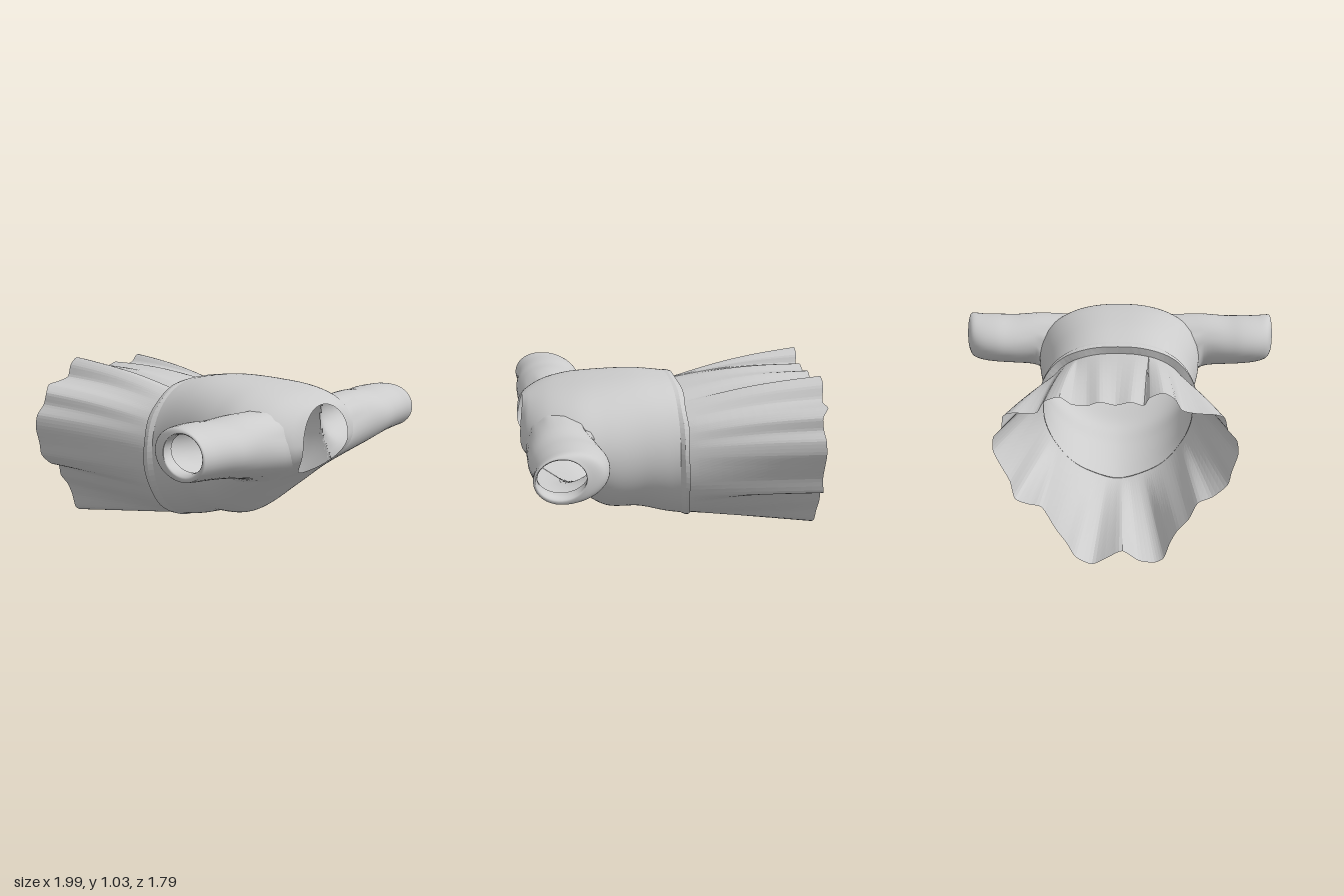
import * as THREE from 'three';

const TAU = Math.PI * 2;
const smooth = new THREE.MeshStandardMaterial({ color: 0xcccccc, side: THREE.DoubleSide });
const faceted = new THREE.MeshStandardMaterial({ color: 0xcccccc, side: THREE.DoubleSide, flatShading: true });

// Tube-like surface: f(u, angle) gives a point; rings close on themselves
function loft(name, nu, nv, f, material = smooth, skip = () => false) {
  const points = [], index = [];
  for (let i = 0; i <= nu; i++)
    for (let j = 0; j < nv; j++) points.push(f(i / nu, (j / nv) * TAU));
  for (let i = 0; i < nu; i++) {
    for (let j = 0; j < nv; j++) {
      const a = i * nv + j, b = i * nv + ((j + 1) % nv), c = a + nv, d = b + nv;
      const mid = points[a].clone().add(points[d]).multiplyScalar(0.5);
      if (!skip(mid)) index.push(a, b, c, b, d, c);
    }
  }
  const g = new THREE.BufferGeometry().setFromPoints(points);
  g.setIndex(index);
  g.computeVertexNormals();
  const mesh = new THREE.Mesh(g, material);
  mesh.name = name;
  return { mesh, points };
}

// Point on a ring [zTop, zSide, zBottom, halfWidth, top, bottom, k];
// k = 0 is an oval, k = 1 has a squarer upper half and a higher widest line
function ringPoint([zt, zs, zb, hw, top, bottom, k], a) {
  const s = Math.sin(a), c = Math.cos(a);
  const mid = THREE.MathUtils.lerp(bottom, top, 0.5 + 0.05 * k);
  const z = zs + ((s > 0 ? zt : zb) - zs) * s * s;
  const x = hw * Math.sign(c) * Math.pow(Math.abs(c), s > 0 ? 1 - 0.25 * k : 1 + 0.08 * k);
  return new THREE.Vector3(x, mid + (s > 0 ? top - mid : mid - bottom) * s, z);
}

// Smooth curve through one angle of every ring, cached per angle
function curveSurface(count, pointAt) {
  const cache = new Map();
  return (u, a) => {
    if (!cache.has(a)) {
      const pts = Array.from({ length: count }, (_, i) => pointAt(i, a));
      cache.set(a, new THREE.CatmullRomCurve3(pts));
    }
    return cache.get(a).getPoint(u);
  };
}

// Bodice from waist to neck opening
const bodiceRings = [
  [-0.03, -0.03, -0.1, 0.465, 0.97, 0.105, 1],
  [0.05, 0.05, 0.03, 0.46, 0.985, 0.13, 1],
  [0.2, 0.2, 0.2, 0.47, 1.0, 0.18, 1],
  [0.42, 0.42, 0.4, 0.51, 0.995, 0.21, 1],
  [0.58, 0.6, 0.53, 0.515, 0.98, 0.31, 1],
  [0.72, 0.76, 0.64, 0.44, 0.955, 0.41, 0.8],
  [0.82, 0.86, 0.71, 0.32, 0.92, 0.47, 0.4],
  [0.86, 0.89, 0.75, 0.215, 0.9, 0.5, 0],
];

// Raised seam where bodice and skirt meet
const seamRings = [
  [0.0, 0.0, -0.07, 0.462, 0.975, 0.11, 1],
  [-0.025, -0.025, -0.095, 0.482, 0.975, 0.1, 1],
  [-0.055, -0.05, -0.11, 0.486, 0.965, 0.1, 1],
  [-0.05, -0.045, -0.105, 0.452, 0.915, 0.112, 1],
];

// Sleeve rings: x, z min, z max, y min, y max (the first is laid on the bodice)
const sleeveRings = [
  [0, 0.48, 0.865, 0.49, 0.89],
  [0.55, 0.485, 0.87, 0.555, 0.895],
  [0.7, 0.46, 0.87, 0.58, 0.885],
  [0.8, 0.45, 0.86, 0.59, 0.89],
  [0.9, 0.465, 0.855, 0.6, 0.89],
  [0.96, 0.5, 0.86, 0.612, 0.89],
  [0.99, 0.57, 0.86, 0.625, 0.88],
  [0.995, 0.59, 0.85, 0.645, 0.87],
  [0.97, 0.585, 0.84, 0.66, 0.86],
  [0.92, 0.575, 0.84, 0.66, 0.86],
];

// Is a bodice point inside the armhole?
function inArmhole(p) {
  const [, z0, z1, y0, y1] = sleeveRings[0];
  const dz = (p.z - (z0 + z1) / 2) / (z1 - z0), dy = (p.y - (y0 + y1) / 2) / (y1 - y0);
  return Math.abs(p.x) > 0.23 && Math.hypot(dz, dy) < 0.46;
}

function makeSleeve(name, side, bodicePoints) {
  const pointAt = (i, a) => {
    const [x, z0, z1, y0, y1] = sleeveRings[i];
    const y = (y0 + y1) / 2 + ((y1 - y0) / 2) * Math.cos(a);
    const z = (z0 + z1) / 2 + ((z1 - z0) / 2) * Math.sin(side * a);
    if (i > 0) return new THREE.Vector3(side * x, y, z);
    // Root: nearest bodice point on this side
    let best = null, bestD = Infinity;
    for (const p of bodicePoints) {
      if (p.x * side < 0.05) continue;
      const d = (p.y - y) ** 2 + (p.z - z) ** 2;
      if (d < bestD) { bestD = d; best = p; }
    }
    return best.clone();
  };
  return loft(name, 45, 40, curveSurface(sleeveRings.length, pointAt)).mesh;
}

// Pleated hem outline (x, y), counter-clockwise from the left side
const hemOutline = [
  [0.66, 0.66], [0.655, 0.74], [0.61, 0.79], [0.6, 0.86], [0.55, 0.9], [0.47, 0.9], [0.41, 0.91],
  [0.37, 0.98], [0.29, 1.01], [0.23, 0.965], [0.15, 0.955], [0.08, 0.98], [0, 0.96], [-0.08, 0.98],
  [-0.15, 0.96], [-0.18, 1.01], [-0.25, 1.04], [-0.31, 1.0], [-0.35, 0.93], [-0.43, 0.91], [-0.52, 0.9],
  [-0.58, 0.86], [-0.6, 0.79], [-0.65, 0.73], [-0.66, 0.65], [-0.63, 0.55], [-0.61, 0.47], [-0.53, 0.4],
  [-0.45, 0.37], [-0.4, 0.29], [-0.34, 0.22], [-0.3, 0.14], [-0.27, 0.05], [-0.22, 0.02], [-0.13, 0.03],
  [-0.04, 0.09], [0.04, 0.05], [0.13, 0.005], [0.22, 0.05], [0.27, 0.14], [0.33, 0.23], [0.4, 0.35],
  [0.47, 0.36], [0.55, 0.38], [0.575, 0.48], [0.62, 0.57],
];

// How far back the hem reaches at each height (y, z)
const hemDepth = [[0, -0.9], [0.34, -0.88], [0.38, -0.83], [0.5, -0.81], [0.86, -0.785], [0.91, -0.84], [1.05, -0.87]];
function hemZ(y) {
  const i = Math.max(1, hemDepth.findIndex(([h]) => h >= y));
  const [y0, z0] = hemDepth[i - 1], [y1, z1] = hemDepth[i];
  return THREE.MathUtils.mapLinear(y, y0, y1, z0, z1);
}

// Skirt: straight folds fanning from the waist out to the hem
function makeSkirt() {
  const hem = new THREE.CatmullRomCurve3(
    hemOutline.map(([x, y]) => new THREE.Vector3(x, y, hemZ(y))), true, 'catmullrom', 0.35);
  const waist = [-0.04, -0.04, -0.1, 0.452, 0.918, 0.11, 1];
  return loft('skirt', 12, 184, (u, a) => {
    const t = 1 - u;
    const end = hem.getPoint(a / TAU);
    const angle = Math.atan2((end.y - 0.58) / 0.48, end.x / 0.62);
    const p = ringPoint(waist, angle).lerp(end, t);
    if (end.y > 0.58) p.y += 0.025 * Math.sin(Math.PI * t) * Math.sin(angle);
    return p;
  }, faceted).mesh;
}

export function createModel() {
  const group = new THREE.Group();
  group.name = 'dress';

  const bodice = loft('bodice', 72, 128,
    curveSurface(bodiceRings.length, (i, a) => ringPoint(bodiceRings[i], a)), smooth, inArmhole);
  group.add(bodice.mesh);

  group.add(makeSleeve('leftSleeve', 1, bodice.points));
  group.add(makeSleeve('rightSleeve', -1, bodice.points));

  const last = seamRings.length - 1;
  group.add(loft('waistSeam', last, 80, (u, a) => {
    const p = ringPoint(seamRings[last - Math.round(u * last)], a);
    p.z += 0.006 * Math.sin(9 * a) * (1 - u);
    return p;
  }, faceted).mesh);

  group.add(makeSkirt());
  return group;
}
